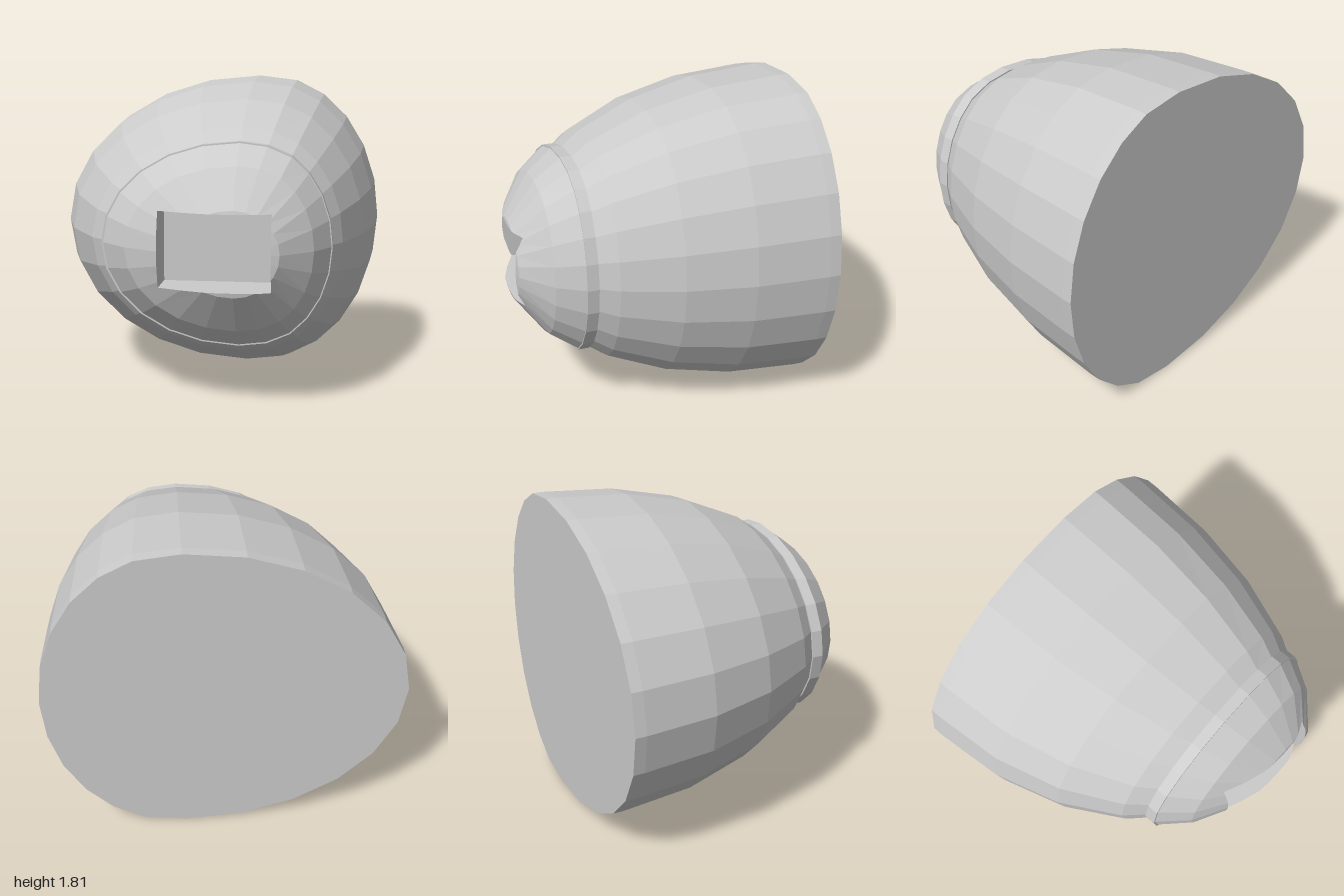
import * as THREE from 'three';

const SIDES = 24, CX = 0.22, CY = 0.907, RY = 0.905;
const EQUATOR = -0.775, DEPTH = 1.595, BAND_BACK = 0.455, BAND_FRONT = 0.52;
const HOLE = { x0: -0.2, x1: 0.42, y0: 0.7, y1: 1.12 };

// lopsided widening: long towards -x, short towards +x
const widen = s => s >= 0
  ? Math.min(CX + 0.95 * s, 0.28 + 0.72 * s)
  : Math.max(CX + 1.263 * s, 0.205 + 1.205 * s);

// ring of points for a relative radius r at depth z
function ring(r, z) {
  return Array.from({ length: SIDES }, (_, i) => {
    const a = (i / SIDES) * Math.PI * 2;
    return [widen(r * Math.cos(a)), CY + RY * r * Math.sin(a), z];
  });
}

// facets between successive [radius, z] rings, running from back to front
function loft(profile) {
  const polys = [];
  for (let k = 0; k < profile.length - 1; k++) {
    const [r0, z0] = profile[k], [r1, z1] = profile[k + 1];
    const A = ring(r0, z0), B = ring(r1, z1);
    for (let i = 0; i < SIDES; i++) {
      const j = (i + 1) % SIDES;
      if (r0 === 0) polys.push([A[i], B[j], B[i]]);
      else if (r1 === 0) polys.push([A[i], A[j], B[i]]);
      else polys.push([A[i], A[j], B[j]], [A[i], B[j], B[i]]);
    }
  }
  return polys;
}

// keep the part of a polygon where sign * (p[axis] - limit) >= 0
function clip(poly, axis, limit, sign) {
  const out = [];
  poly.forEach((p, i) => {
    const q = poly[(i + 1) % poly.length];
    const dp = sign * (p[axis] - limit), dq = sign * (q[axis] - limit);
    if (dp >= 0) out.push(p);
    if ((dp > 0 && dq < 0) || (dp < 0 && dq > 0)) {
      const t = dp / (dp - dq);
      const m = p.map((v, n) => v + (q[n] - v) * t);
      m[axis] = limit;
      out.push(m);
    }
  });
  return out;
}

// cut the rectangular window and drop its walls to the given depth
function cutWindow(polys, floorZ) {
  const { x0, x1, y0, y1 } = HOLE;
  const xs = [-9, x0, x1, 9], ys = [-9, y0, y1, 9];
  const skin = [], walls = [];
  const inX = p => p[0] > x0 - 1e-6 && p[0] < x1 + 1e-6;
  const inY = p => p[1] > y0 - 1e-6 && p[1] < y1 + 1e-6;
  for (const poly of polys) for (let i = 0; i < 3; i++) for (let j = 0; j < 3; j++) {
    if (i === 1 && j === 1) continue;
    let c = clip(clip(poly, 0, xs[i], 1), 0, xs[i + 1], -1);
    c = clip(clip(c, 1, ys[j], 1), 1, ys[j + 1], -1);
    if (c.length < 3) continue;
    skin.push(c);
    c.forEach((a, n) => {
      const b = c[(n + 1) % c.length];
      const onX = j === 1 && [x0, x1].some(x => a[0] === x && b[0] === x) && inY(a) && inY(b);
      const onY = i === 1 && [y0, y1].some(y => a[1] === y && b[1] === y) && inX(a) && inX(b);
      if (onX || onY) walls.push([b, a, [a[0], a[1], floorZ], [b[0], b[1], floorZ]]);
    });
  }
  const floor = [[x0, y0, floorZ], [x1, y0, floorZ], [x1, y1, floorZ], [x0, y1, floorZ]];
  return { skin, pocket: [...walls, floor] };
}

function addMesh(group, name, polys) {
  const pos = [];
  for (const p of polys) {
    for (let i = 1; i < p.length - 1; i++) pos.push(...p[0], ...p[i], ...p[i + 1]);
  }
  const geo = new THREE.BufferGeometry();
  geo.setAttribute('position', new THREE.Float32BufferAttribute(pos, 3));
  geo.computeVertexNormals();
  const mesh = new THREE.Mesh(geo,
    new THREE.MeshStandardMaterial({ color: 0xcccccc, flatShading: true }));
  mesh.name = name;
  group.add(mesh);
}

export function createModel() {
  const group = new THREE.Group();
  group.name = 'dome';

  // dome rings every 15 degrees, the front cap pushed forward by the band
  const step = k => {
    const a = (k * Math.PI) / 12;
    return [Math.sin(a), EQUATOR + DEPTH * Math.cos(a)];
  };
  const [rA, zA] = step(3), [rB, zB] = step(2);
  const cutR = rA + (rB - rA) * (BAND_BACK - zA) / (zB - zA);
  const shift = BAND_FRONT - BAND_BACK;

  // base plate with flat back
  addMesh(group, 'basePlate', loft([[0, -0.84], [1, -0.84], [1, EQUATOR]]));

  // main shell behind the band
  addMesh(group, 'shell', loft([6, 5, 4, 3].map(step).concat([[cutR, BAND_BACK]])));

  // slim raised band
  const bandR = cutR + 0.009;
  addMesh(group, 'band', loft([[cutR, BAND_BACK], [bandR, BAND_BACK],
    [bandR, BAND_FRONT], [cutR, BAND_FRONT]]));

  // front cap with rectangular pocket
  const cap = loft([[cutR, BAND_FRONT],
    ...[2, 1].map(k => [step(k)[0], step(k)[1] + shift]),
    [0, EQUATOR + DEPTH + shift]]);
  const { skin, pocket } = cutWindow(cap, BAND_FRONT);
  addMesh(group, 'frontCap', skin);
  addMesh(group, 'pocket', pocket);

  return group;
}
